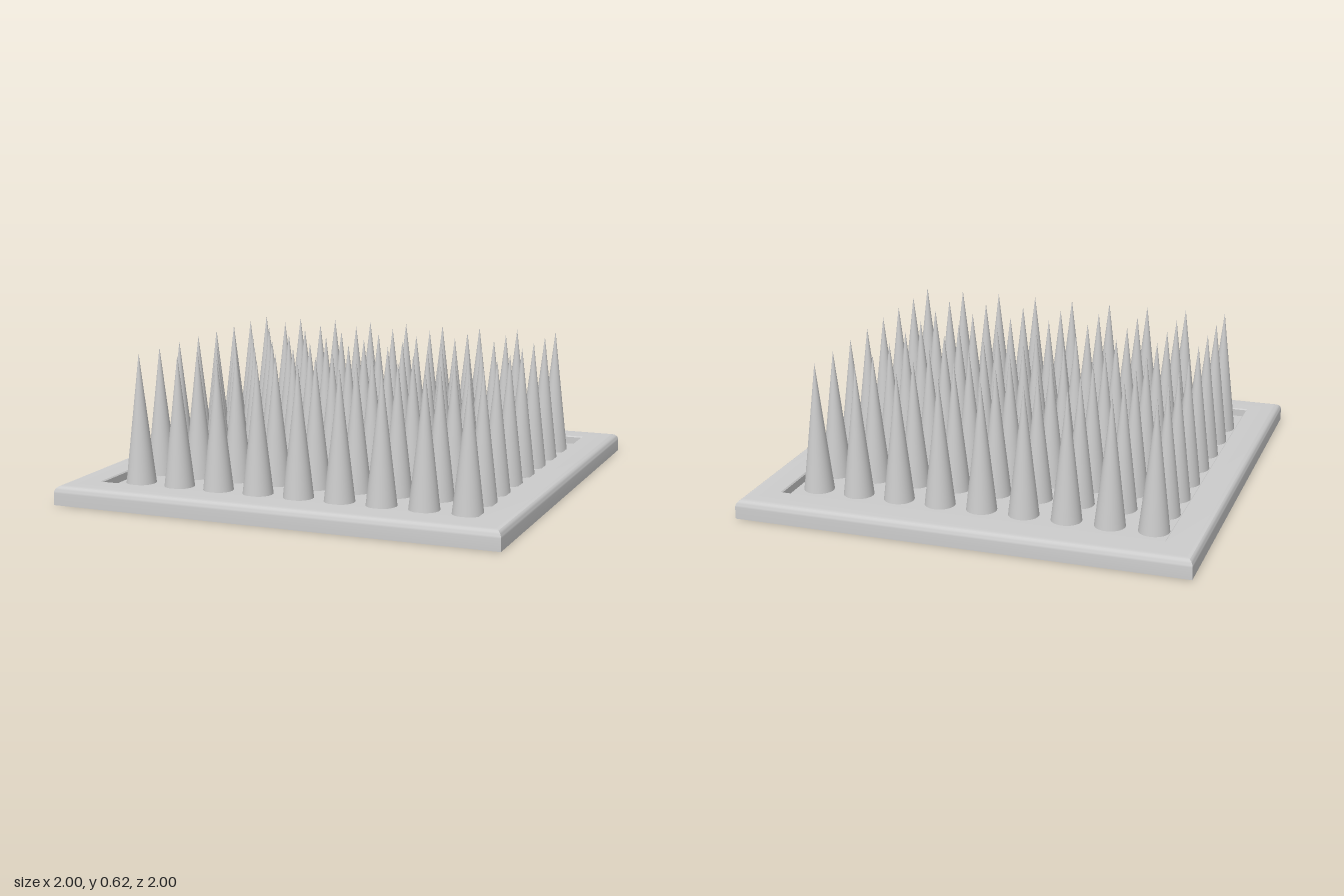
import * as THREE from 'three';
import { toCreasedNormals } from 'three/addons/utils/BufferGeometryUtils.js';

const FLOOR = 0.047, TOP = 0.085, INNER = 0.85, ROUND = 0.032, TIP = 0.625;

// Square tray: a half cross-section turned in four steps, with mitred corners
function trayGeometry() {
  const profile = [new THREE.Vector2(0, 0), new THREE.Vector2(1, 0)];
  for (let i = 0; i <= 6; i++) {
    const a = (i / 6) * Math.PI / 2;
    profile.push(new THREE.Vector2(1 - ROUND + ROUND * Math.cos(a), TOP - ROUND + ROUND * Math.sin(a)));
  }
  profile.push(
    new THREE.Vector2(INNER + 0.005, TOP),
    new THREE.Vector2(INNER, TOP - 0.005),
    new THREE.Vector2(INNER, FLOOR),
    new THREE.Vector2(0, FLOOR)
  );
  const geo = new THREE.LatheGeometry(profile, 4, Math.PI / 4);
  geo.scale(Math.SQRT2, 1, Math.SQRT2);
  return toCreasedNormals(geo, 0.6);
}

export function createModel() {
  const model = new THREE.Group();
  model.name = 'spikeBoard';
  const material = new THREE.MeshStandardMaterial({ color: 0xcccccc });

  const tray = new THREE.Mesh(trayGeometry(), material);
  tray.name = 'tray';
  model.add(tray);

  // Nine by eight spikes standing on the sunken floor
  const spikes = new THREE.Group();
  spikes.name = 'spikes';
  const height = TIP - FLOOR;
  const spikeGeo = new THREE.ConeGeometry(0.067, height, 32, 4, true);
  spikeGeo.translate(0, FLOOR + height / 2, 0);
  for (let row = 0; row < 8; row++) {
    for (let col = 0; col < 9; col++) {
      const spike = new THREE.Mesh(spikeGeo, material);
      spike.name = 'spike';
      spike.position.set(-0.764 + col * 0.1897, 0, -0.677 + row * 0.19);
      spikes.add(spike);
    }
  }
  model.add(spikes);
  return model;
}
